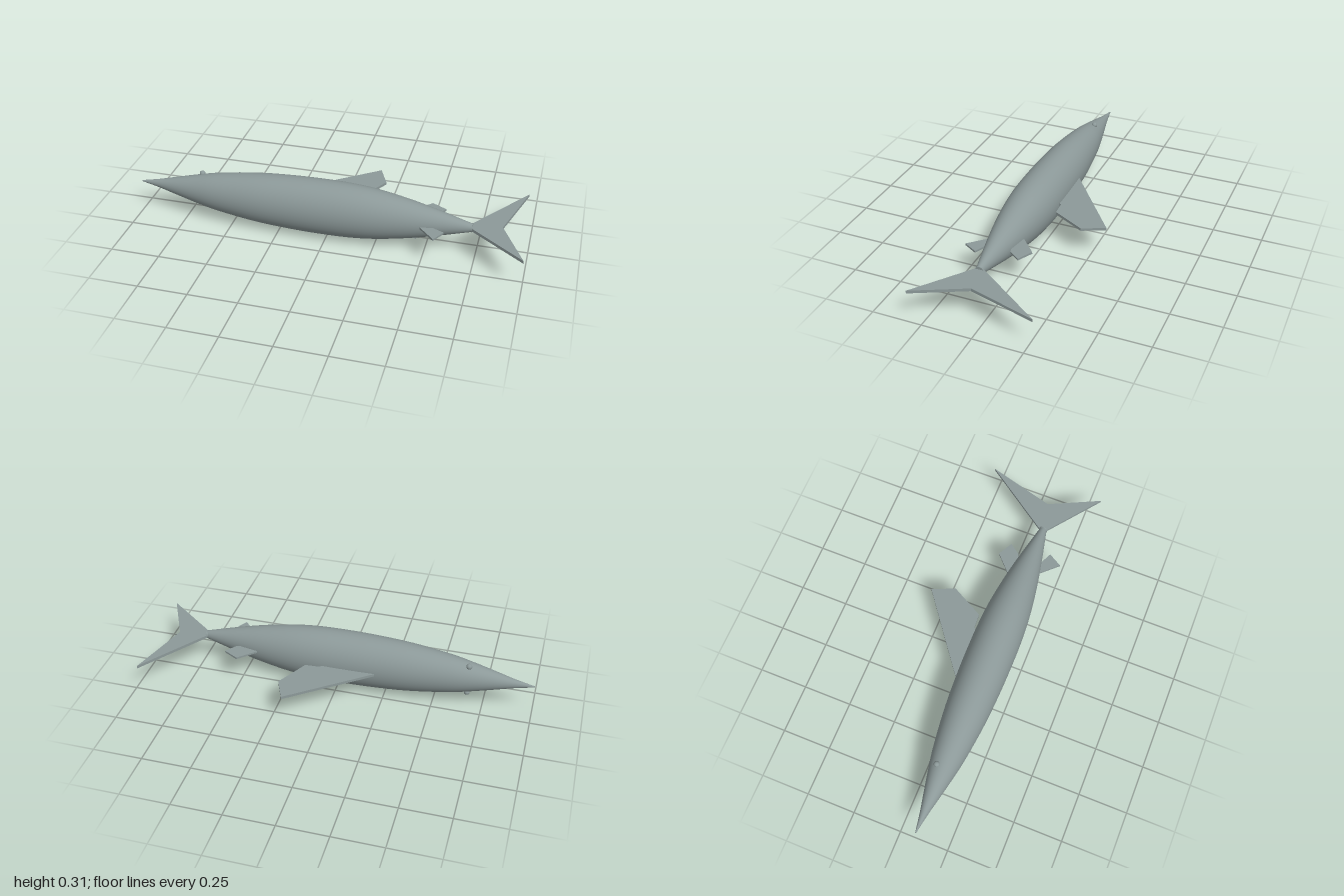
import * as THREE from 'three';

const AXIS_Y = 0.16, AXIS_Z = 0.09;

export function createModel() {
  const group = new THREE.Group();
  const skin = new THREE.MeshStandardMaterial({ color: 0x8c9999 });
  skin.name = 'grey skin';

  const add = (name, geometry, x = 0, y = 0, z = 0) => {
    const mesh = new THREE.Mesh(geometry, skin);
    mesh.name = name;
    mesh.position.set(x, y, z);
    group.add(mesh);
  };

  // Spindle body lying along x, slightly narrower in z
  const profile = new THREE.SplineCurve([
    [0.003, -1], [0.024, -0.9], [0.05, -0.8], [0.08, -0.68], [0.103, -0.57],
    [0.13, -0.37], [0.142, -0.18], [0.145, -0.02], [0.142, 0.12], [0.13, 0.25],
    [0.104, 0.4], [0.069, 0.55], [0.022, 0.725],
  ].map(([r, x]) => new THREE.Vector2(r, x)));
  const body = new THREE.LatheGeometry(profile.getPoints(48), 40);
  body.rotateZ(-Math.PI / 2).scale(1, 1, 0.835);
  add('body', body, 0, AXIS_Y, AXIS_Z);
  add('tailStump', new THREE.CylinderGeometry(0.022, 0.022, 0.012, 24).rotateZ(Math.PI / 2),
    0.722, AXIS_Y, AXIS_Z);

  // Flat plates cut from an outline
  const plate = (points, depth) => new THREE.ExtrudeGeometry(
    new THREE.Shape(points.map(([a, b]) => new THREE.Vector2(a, b))),
    { depth, bevelEnabled: false }).translate(0, 0, -depth / 2);

  // Fins in the horizontal plane, outlined in x and z
  const fin = (name, points, depth) => add(name,
    plate(points.map(([x, z]) => [x, -z]), depth).rotateX(-Math.PI / 2), 0, AXIS_Y, 0);
  fin('dorsalFin', [[-0.22, -0.02], [0.185, -0.325], [0.235, -0.21], [0.145, -0.044],
    [0.07, -0.04], [0.05, 0]], 0.014);
  fin('secondDorsalFin', [[0.42, 0.005], [0.505, -0.075], [0.58, -0.035],
    [0.54, 0.02], [0.48, 0.04]], 0.01);
  fin('analFin', [[0.47, 0.15], [0.56, 0.245], [0.6, 0.175], [0.5, 0.13]], 0.01);
  fin('tailFin', [[0.715, 0.075], [0.965, -0.28], [0.87, 0.06], [0.995, 0.317],
    [0.715, 0.102]], 0.015);

  // Small fin tips under the body, outlined in x and y
  add('pectoralFin', plate([[-0.06, 0.03], [-0.015, 0], [0, 0.03]], 0.008), 0, 0, AXIS_Z);
  add('pelvicFin', plate([[0.4, 0.09], [0.41, 0.062], [0.455, 0.05], [0.455, 0.06],
    [0.43, 0.09]], 0.008), 0, 0, AXIS_Z);

  // Eyes on both flanks
  for (const side of [-1, 1]) {
    add(side > 0 ? 'upperEye' : 'lowerEye', new THREE.SphereGeometry(0.015, 16, 12),
      -0.67, AXIS_Y + side * 0.079, 0.064);
  }
  return group;
}
